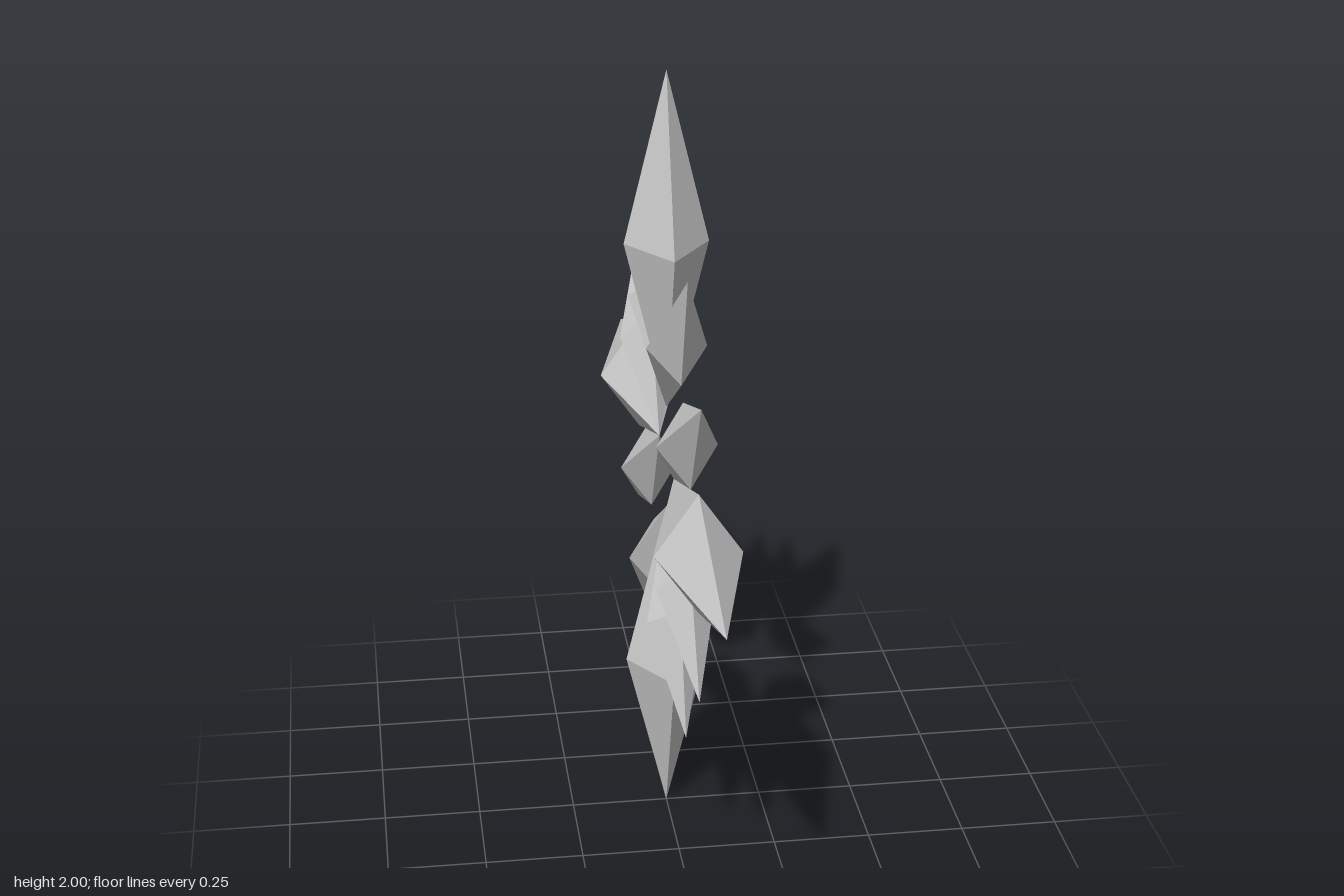
import * as THREE from 'three';

// Four-sided double pyramid rising from the origin along +y
function shardGeometry(length, waist, halfThickness, halfWidth) {
  const profile = [[0, 0], [1, waist], [0, length]].map(([r, y]) => new THREE.Vector2(r, y));
  return new THREE.LatheGeometry(profile, 4).scale(halfThickness, 1, halfWidth);
}

export function createModel() {
  const model = new THREE.Group();
  model.name = 'crystalStar';
  const material = new THREE.MeshStandardMaterial({ color: 0xcccccc, flatShading: true });

  const innerRadius = 0.137;
  const mainGeometry = shardGeometry(1 - innerRadius, 0.433, 0.105, 0.152);
  const sideGeometry = shardGeometry(0.596, 0.298, 0.074, 0.107);
  const splay = Math.atan2(0.375, 0.463);

  const addShard = (cluster, name, geometry, tilt) => {
    const shard = new THREE.Mesh(geometry, material);
    shard.name = name;
    shard.position.y = innerRadius;
    shard.rotation.x = tilt;
    cluster.add(shard);
  };

  // Four clusters around the x axis, each a long shard flanked by two short ones
  ['top', 'front', 'bottom', 'back'].forEach((side, i) => {
    const cluster = new THREE.Group();
    cluster.name = side + 'Cluster';
    cluster.position.y = 1;
    cluster.rotation.x = (i * Math.PI) / 2;
    addShard(cluster, 'longShard', mainGeometry, 0);
    addShard(cluster, 'shortShardA', sideGeometry, splay);
    addShard(cluster, 'shortShardB', sideGeometry, -splay);
    model.add(cluster);
  });

  return model;
}
